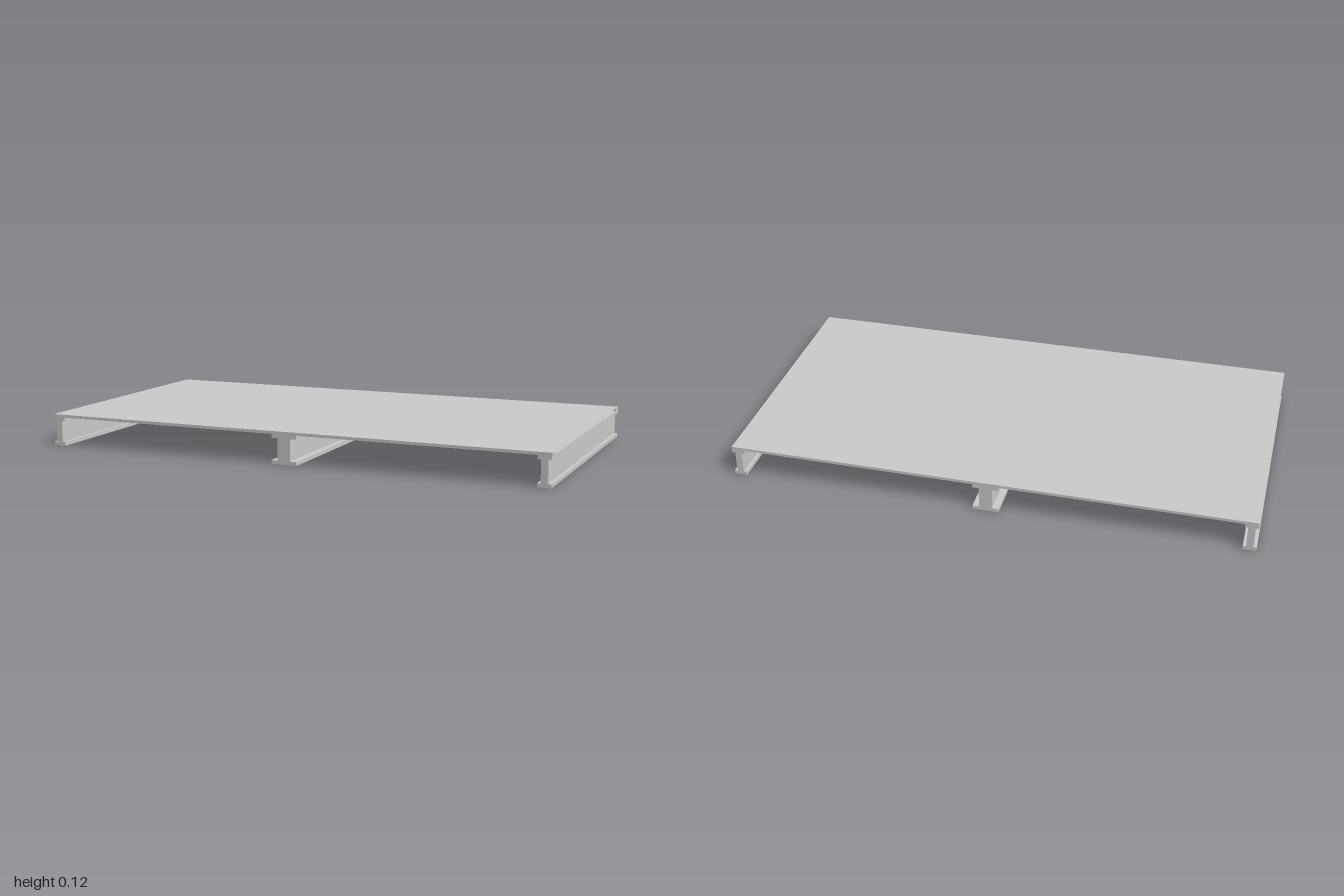
import * as THREE from 'three';

const DEPTH = 1.054;      // full length along z
const BEAM_TOP = 0.112;   // height of the beams
const TOP = 0.123;        // height of the deck surface
const FLANGE = 0.0145;    // flange thickness

const material = new THREE.MeshStandardMaterial({ color: 0xcccccc, flatShading: true });

function box(name, w, h, d, x, y, z) {
  const mesh = new THREE.Mesh(new THREE.BoxGeometry(w, h, d), material);
  mesh.name = name;
  mesh.position.set(x, y, z);
  return mesh;
}

// I-section extruded along z
function beam(name, x, width, web) {
  const f = width / 2, w = web / 2, lo = FLANGE, hi = BEAM_TOP - FLANGE;
  const right = [[f, 0], [f, lo], [w, lo], [w, hi], [f, hi], [f, BEAM_TOP]];
  const left = right.map(([px, py]) => [-px, py]).reverse();
  const shape = new THREE.Shape([...right, ...left].map(([px, py]) => new THREE.Vector2(px, py)));
  const geometry = new THREE.ExtrudeGeometry(shape, { depth: DEPTH, bevelEnabled: false });
  geometry.translate(0, 0, -DEPTH / 2);
  const mesh = new THREE.Mesh(geometry, material);
  mesh.name = name;
  mesh.position.x = x;
  return mesh;
}

export function createModel() {
  const model = new THREE.Group();
  model.name = 'platform';

  // Three supporting beams, the middle one twice as wide
  model.add(beam('leftBeam', 0.975, 0.05, 0.026));
  model.add(beam('rightBeam', -0.975, 0.05, 0.026));
  model.add(beam('middleBeam', 0, 0.1, 0.05));

  // Thin deck sheet, carried by a strip along the front and back edges
  const skin = 0.001, strip = 0.044, stripHeight = TOP - skin - BEAM_TOP;
  model.add(box('deckSheet', 2, skin, DEPTH, 0, TOP - skin / 2, 0));
  for (const [name, side] of [['frontEdgeStrip', 1], ['backEdgeStrip', -1]]) {
    model.add(box(name, 2, stripHeight, strip, 0, BEAM_TOP + stripHeight / 2, side * (DEPTH - strip) / 2));
  }
  return model;
}
